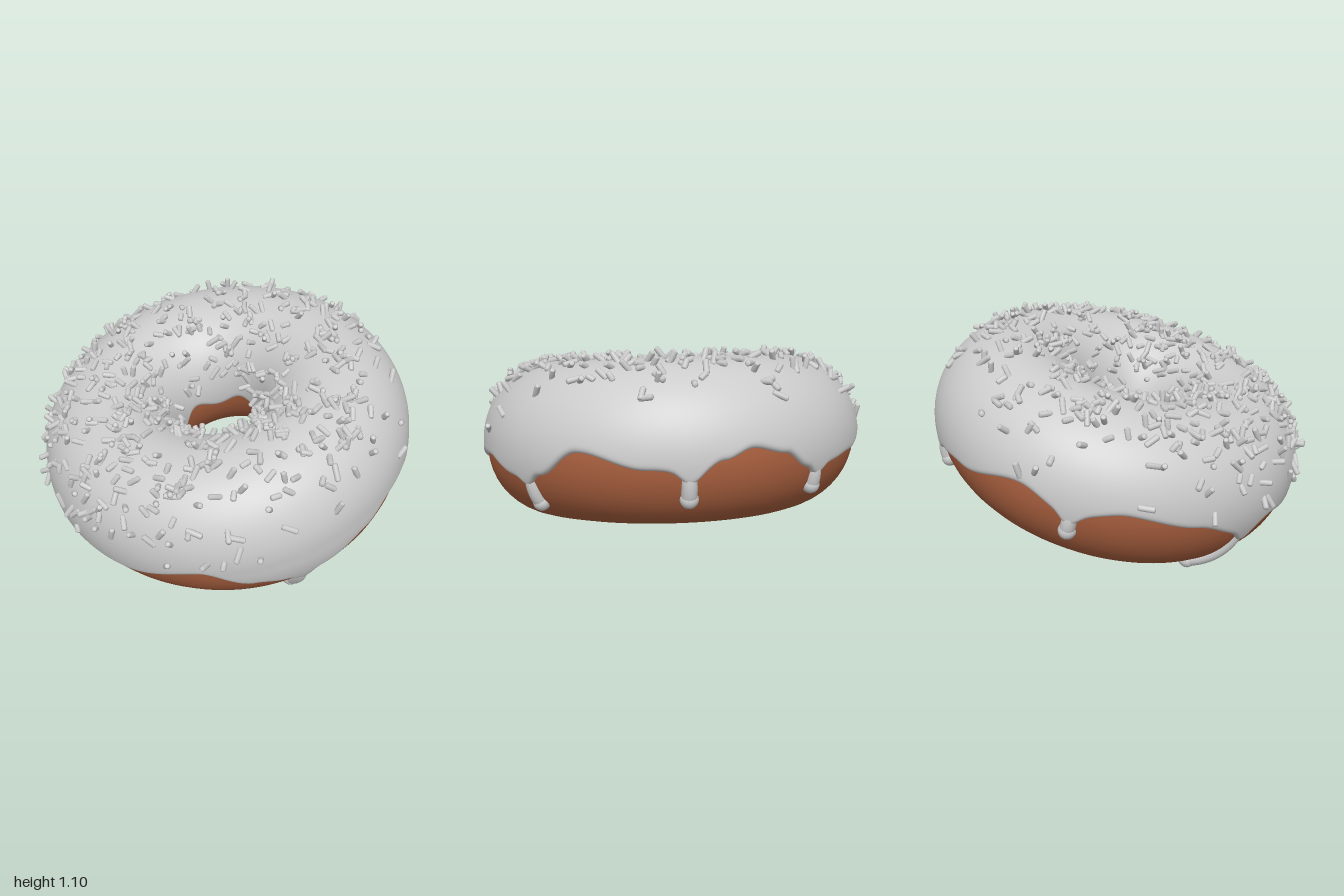
import * as THREE from 'three';
import { mergeGeometries } from 'three/addons/utils/BufferGeometryUtils.js';

const R = 0.585;       // ring radius
const r = 0.375;       // dough tube radius
const T = 0.022;       // icing thickness
const TILT = 0.244;
const rad = THREE.MathUtils.degToRad;

// Point on the ring: th runs around it (0 = +x, 90 = +z), ph around the tube (0 = outside, 90 = top)
function onRing(th, ph, d) {
  const a = rad(th), c = Math.cos(rad(ph)), s = Math.sin(rad(ph)), ca = Math.cos(a), sa = Math.sin(a);
  // underside is fuller at the front, and a little at the back
  const full = sa * sa * Math.max(0, 1 - 1.3 * ca) * (0.7 + 0.3 * sa);
  const drop = 0.027 * full * Math.min(0, s) ** 2;
  const out = 0.04 * full * Math.max(0, sa) * Math.max(0, -s * c);
  // slightly wide hole, outer side drawn in towards -x
  const q = R + out + d * c * (c < 0 ? 1 + 0.06 * c : 1 - c * (0.01 - 0.02 * ca + 0.03 * ca * ca));
  return new THREE.Vector3(q * ca, d * s - drop, q * sa);
}

function seeded(seed) {
  return () => {
    seed = (seed * 1664525 + 1013904223) % 4294967296;
    return seed / 4294967296;
  };
}

// Wavy lower edge of the icing: [angle around ring, angle on tube]
const EDGE = [[0, -16], [13, -13], [32, -1], [45, -18], [56, -20], [71, -8], [80, -7], [92, -14],
  [106, -22], [118, -22], [127, -16], [142, 1], [165, -9], [190, -7], [202, -4], [213, -12],
  [232, 0], [252, 5], [268, -5], [282, 4], [304, -12], [318, -17], [327, -17], [335, -6],
  [345, -1], [353, -8], [360, -16]];

// Drips: start angle, end angle, tube angle of the tip
const DRIPS = [[2, 2, -36], [51, 51.5, -43], [113, 115.5, -52], [213, 221, -60], [267, 267, -19], [322, 321, -34]];

function edgeAt(th) {
  let k = 0;
  while (k < EDGE.length - 2 && EDGE[k + 1][0] <= th) k++;
  const [a, pa] = EDGE[k], [b, pb] = EDGE[k + 1];
  let ph = THREE.MathUtils.lerp(pa, pb, THREE.MathUtils.smoothstep(th, a, b));
  // flare into each drip
  for (const [d] of DRIPS) {
    const off = ((th - d + 540) % 360) - 180;
    ph -= 8 * Math.exp(-((off / 3) ** 2));
  }
  return ph;
}

// Closed loop of N sections around the ring, each M rows; point(th, u) with u from 0 to 1
function ringSurface(N, M, point) {
  const pos = [], index = [];
  for (let i = 0; i < N; i++) {
    for (let j = 0; j <= M; j++) {
      pos.push(...point((i / N) * 360, j / M).toArray());
      if (j < M) {
        const a = i * (M + 1) + j, c = ((i + 1) % N) * (M + 1) + j;
        index.push(a, a + 1, c, c, a + 1, c + 1);
      }
    }
  }
  const g = new THREE.BufferGeometry();
  g.setAttribute('position', new THREE.Float32BufferAttribute(pos, 3));
  g.setIndex(index);
  g.computeVertexNormals();
  return g;
}

// Icing shell with a rounded lip; rows crowd together towards the lips
function icingPoint(th, u) {
  const lo = edgeAt(th), hi = 183 + 4 * Math.sin(rad(th * 5));
  const ph = lo + ((hi - lo) * (1 - Math.cos(Math.PI * u))) / 2;
  const e = Math.min(1, Math.min(ph - lo, hi - ph) / 4.5);
  return onRing(th, ph, r - 0.004 + (T + 0.004) * Math.sqrt(Math.max(0, 1 - (1 - e) ** 2)));
}

// One running drip hugging the dough: sunk into the icing at its root, fuller at the tip
function makeDrip([t0, t1, tip], material) {
  const drip = new THREE.Group();
  const start = edgeAt(t0) + 12, pts = [];
  for (let k = 0; k <= 6; k++) {
    const s = k / 6;
    pts.push(onRing(t0 + (t1 - t0) * s * s, start + (tip - start) * s, r - 0.035 * (1 - s) ** 2));
  }
  const run = new THREE.Mesh(
    new THREE.TubeGeometry(new THREE.CatmullRomCurve3(pts), 20, 0.036, 14), material);
  run.name = 'dripRun';
  const end = new THREE.Mesh(new THREE.SphereGeometry(0.042, 18, 12), material);
  end.position.copy(pts[6]);
  end.name = 'dripTip';
  drip.add(run, end);
  drip.name = 'icingDrip';
  return drip;
}

// Short rod with bevelled ends
function rod(h) {
  const profile = [[0, -h], [0.009, -h], [0.014, 0.005 - h], [0.014, h - 0.005], [0.009, h], [0, h]];
  return new THREE.LatheGeometry(profile.map(([x, y]) => new THREE.Vector2(x, y)), 8);
}

// Scattered sprinkles, thick over the top and thin on the outer sides and in the hole
function sprinkleGeometry() {
  const rnd = seeded(11), parts = [], up = new THREE.Vector3(0, 1, 0);
  while (parts.length < 660) {
    const th = rnd() * 360, ph = 8 + rnd() * 164;
    // the low side carries more than the raised side
    const lowSide = (0.5 - 0.5 * Math.cos(rad(th))) ** 3;
    const density = THREE.MathUtils.smoothstep(ph, 22 - 32 * lowSide, 80 - 15 * lowSide);
    const area = (R + r * Math.cos(rad(ph))) / (R + r);
    if (rnd() > (0.05 + 0.95 * density) * (0.1 + 0.9 * area)) continue;
    const n = onRing(th, ph, 1).sub(onRing(th, ph, 0)).normalize();
    // lying at every angle, some standing out of the icing
    const dir = new THREE.Vector3(rnd() - 0.5, rnd() - 0.5, rnd() - 0.5).normalize();
    const g = rod(0.022 + 0.02 * rnd());
    g.applyQuaternion(new THREE.Quaternion().setFromUnitVectors(up, dir));
    const p = onRing(th, ph, r + T).addScaledVector(n, 0.005 + 0.009 * Math.abs(dir.dot(n)));
    g.translate(p.x, p.y, p.z);
    parts.push(g);
  }
  return mergeGeometries(parts);
}

export function createModel() {
  const icingMat = new THREE.MeshStandardMaterial({ color: 0xcccccc, side: THREE.DoubleSide });
  const sprinkleMat = new THREE.MeshStandardMaterial({ color: 0xcccccc });
  const doughMat = new THREE.MeshStandardMaterial({ color: 0xa85f3e });

  const ring = new THREE.Group();
  ring.name = 'tiltedRing';

  // the dough's seam runs along the top, under the icing
  const dough = new THREE.Mesh(ringSurface(120, 48, (th, u) => onRing(th, 90 + 360 * u, r)), doughMat);
  dough.name = 'dough';
  const icing = new THREE.Mesh(ringSurface(360, 60, icingPoint), icingMat);
  icing.name = 'icing';
  const sprinkles = new THREE.Mesh(sprinkleGeometry(), sprinkleMat);
  sprinkles.name = 'sprinkles';
  ring.add(dough, icing, sprinkles, ...DRIPS.map((d) => makeDrip(d, icingMat)));

  // the ring leans, with its +x side raised
  ring.rotation.z = TILT;
  ring.position.set(0.01, R * Math.sin(TILT) + r, 0);

  const model = new THREE.Group();
  model.name = 'doughnut';
  model.add(ring);
  return model;
}
